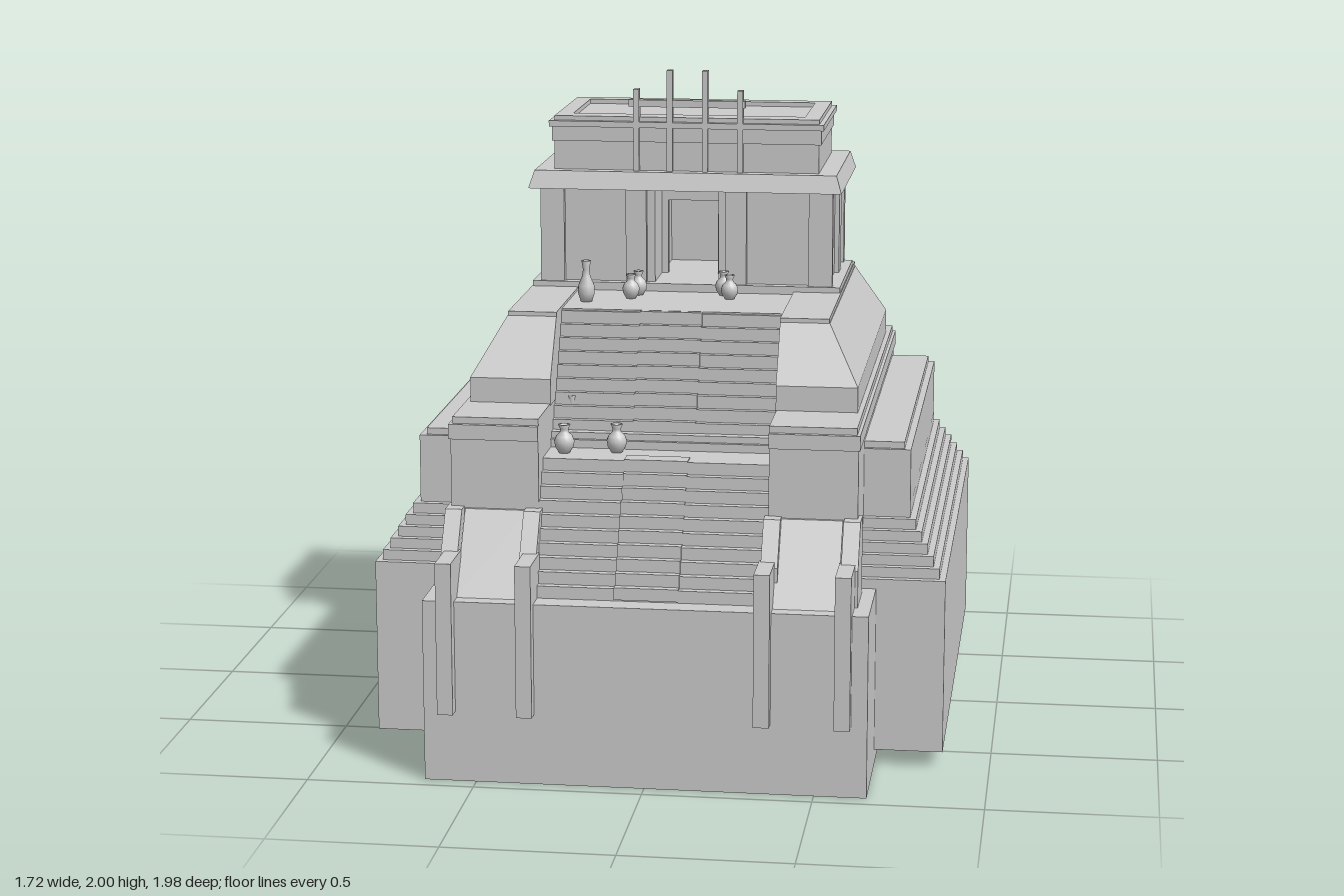
import * as THREE from 'three';

const stone = new THREE.MeshStandardMaterial({ color: 0xcccccc, flatShading: true });
const shell = new THREE.MeshStandardMaterial({ color: 0xcccccc, flatShading: true, side: THREE.DoubleSide });
const clay = new THREE.MeshStandardMaterial({ color: 0xcccccc });

export function createModel() {
  const root = new THREE.Group();

  const add = (name, geo, mat = stone) => {
    const m = new THREE.Mesh(geo, mat);
    m.name = name;
    root.add(m);
    return m;
  };
  // Box given by its limits
  const box = (name, x0, x1, y0, y1, z0, z1) => {
    const g = new THREE.BoxGeometry(x1 - x0, y1 - y0, z1 - z0);
    g.translate((x0 + x1) / 2, (y0 + y1) / 2, (z0 + z1) / 2);
    return add(name, g);
  };
  const pair = (name, x0, x1, ...rest) => {
    box(name + 'Left', x0, x1, ...rest);
    box(name + 'Right', -x1, -x0, ...rest);
  };
  // Stacked rectangles [x0, x1, z0, z1, y] joined into a skin, with optional ends
  const loft = (name, rows, bottom = true, top = true) => {
    const p = [];
    const ring = rows.map(([a, b, c, d, y]) => [[a, y, d], [b, y, d], [b, y, c], [a, y, c]]);
    const quad = (a, b, c, d) => p.push(...a, ...b, ...c, ...a, ...c, ...d);
    for (let i = 0; i + 1 < ring.length; i++)
      for (let k = 0; k < 4; k++) {
        const n = (k + 1) % 4;
        quad(ring[i][k], ring[i][n], ring[i + 1][n], ring[i + 1][k]);
      }
    if (top) quad(...ring[ring.length - 1]);
    if (bottom) quad(...[...ring[0]].reverse());
    const g = new THREE.BufferGeometry();
    g.setAttribute('position', new THREE.Float32BufferAttribute(p, 3));
    g.computeVertexNormals();
    return add(name, g, bottom ? stone : shell);
  };
  // Side profile of [z, y] points, extruded from x0 to x1
  const profile = (name, pts, x0, x1) => {
    const s = new THREE.Shape(pts.map(([z, y]) => new THREE.Vector2(z, y)));
    const g = new THREE.ExtrudeGeometry(s, { depth: x1 - x0, bevelEnabled: false });
    g.rotateY(-Math.PI / 2).translate(x1, 0, 0);
    return add(name, g);
  };
  const profilePair = (name, pts, x0, x1) => {
    profile(name + 'Left', pts, x0, x1);
    profile(name + 'Right', pts, -x1, -x0);
  };

  // Long base: hollow walls with a ledge round the top
  loft('longBase', [[-0.655, 0.655, -0.99, 0.95, 0], [-0.655, 0.655, -0.99, 0.95, 0.55],
    [-0.6, 0.6, -0.87, 0.85, 0.55]], false, false);

  // Wide base and its stepped terraces as one hollow skin
  const terraces = [[-0.86, 0.86, -0.89, 0.655, 0.05]];
  for (let i = 0; i <= 6; i++) {
    const y = 0.58 + i * 0.0315, d = 0.022 * i;
    if (i) terraces.push([-0.86 + d * 0.87, 0.86 - d * 0.87, -0.89 + d, 0.655 - d, y - 0.0315]);
    terraces.push([-0.86 + d * 0.87, 0.86 - d * 0.87, -0.89 + d, 0.655 - d, y]);
  }
  const wall = [-0.745, 0.745, -0.745, 0.523], cap = [-0.725, 0.725, -0.735, 0.51];
  terraces.push([...wall, 0.769], [...wall, 0.945], [...cap, 0.945], [...cap, 0.965]);
  loft('terraces', terraces, false);

  // Flanking towers beside the stairs
  for (const s of [1, -1]) {
    const row = (x, z0, z1, y) => (s > 0 ? [0.342, x, z0, z1, y] : [-x, -0.342, z0, z1, y]);
    loft('tower', [row(0.605, -0.79, 0.74, 0.55), row(0.605, -0.79, 0.74, 0.99),
      row(0.61, -0.803, 0.75, 0.99), row(0.61, -0.803, 0.75, 1.035),
      row(0.6, -0.79, 0.735, 1.035), row(0.6, -0.79, 0.735, 1.055)], false);
  }

  // Sloped balustrades, front ones ending in hanging posts
  const frontRail = [[0.7, 0.55], [0.86, 0.55], [0.86, 0.66], [0.85, 0.675], [0.78, 0.785], [0.7, 0.785]];
  const frontPost = [[0.83, 0.55], [0.95, 0.55], [0.95, 0.215], [0.99, 0.215], [0.99, 0.675], [0.83, 0.675]];
  const backRail = [[-0.7, 0.785], [-0.805, 0.785], [-0.965, 0.55], [-0.7, 0.55]];
  for (const x of [0.325, 0.56]) {
    profilePair('frontRail', frontRail, x + 0.006, x + 0.056);
    profilePair('frontPost', frontPost, x, x + 0.047);
    profilePair('backRail', backRail, x + 0.003, x + 0.05);
  }
  profilePair('frontRamp', [[0.7, 0.55], [0.905, 0.55], [0.75, 0.78], [0.7, 0.78]], 0.372, 0.562);
  profilePair('backRamp', [[-0.7, 0.78], [-0.78, 0.78], [-0.94, 0.55], [-0.7, 0.55]], 0.372, 0.562);

  // Stair flights, the front ones with a slightly raised central strip
  const flight = (name, zLow, zHigh, yLow, yHigh, n, strip) => {
    const run = (zHigh - zLow) / n, rise = (yHigh - yLow) / n, s = Math.sign(run);
    for (let i = 0; i < n; i++) {
      const z0 = zLow + run * i, z1 = z0 + run * 2.2, y = yLow + rise * i;
      box(name, -0.342, 0.342, y, y + rise, Math.min(z0, z1), Math.max(z0, z1));
      if (strip) box(name + 'Strip', -0.097, 0.093, y + 0.004, y + rise + 0.004, z1, z0 - s * 0.004);
    }
  };
  flight('frontLowerStep', 0.88, 0.64, 0.55, 0.92, 10, true);
  flight('frontUpperStep', 0.5, 0.3, 0.92, 1.3, 10, true);
  flight('backUpperStep', -0.725, -0.475, 0.95, 1.3, 10, false);
  box('landing', -0.342, 0.342, 0.86, 0.92, 0.45, 0.65);
  box('deck', -0.342, 0.342, 0.92, 1.305, -0.49, 0.31);

  // Sloped upper platform on both sides of the stairs
  for (const s of [1, -1]) {
    const row = (x, z0, z1, y) => (s > 0 ? [0.34, x, z0, z1, y] : [-x, -0.34, z0, z1, y]);
    loft('platform', [row(0.585, -0.68, 0.53, 1.05), row(0.585, -0.68, 0.53, 1.13),
      row(0.49, -0.55, 0.415, 1.3)]);
  }
  pair('platformCap', 0.34, 0.488, 1.3, 1.313, -0.555, 0.415);

  // Temple: plinth, walls around an open doorway, pilasters
  box('templePlinth', -0.485, 0.485, 1.3, 1.33, -0.49, 0.0);
  pair('templeFrontWall', 0.1, 0.44, 1.33, 1.64, -0.08, -0.03);
  pair('templeSideWall', 0.4, 0.445, 1.33, 1.64, -0.465, -0.03);
  box('templeBackWall', -0.44, 0.44, 1.33, 1.64, -0.47, -0.42);
  pair('chamberWall', 0.1, 0.13, 1.33, 1.64, -0.42, -0.08);
  box('innerLintel', -0.1, 0.1, 1.565, 1.64, -0.22, -0.19);
  pair('innerJamb', 0.08, 0.1, 1.33, 1.565, -0.22, -0.19);
  for (const z of [-0.02, -0.475]) {
    pair('cornerPilaster', 0.385, 0.46, 1.33, 1.64, z - 0.012, z + 0.012);
    pair('doorPilaster', 0.125, 0.19, 1.33, 1.64, z - 0.012, z + 0.012);
  }
  for (const [a, b] of [[-0.485, -0.445], [-0.335, -0.26], [-0.035, -0.01]])
    pair('sidePilaster', 0.44, 0.46, 1.33, 1.64, a, b);

  // Flared eave and upper storey
  loft('eave', [[-0.49, 0.49, -0.533, 0.04, 1.63], [-0.473, 0.473, -0.515, 0.022, 1.685]]);
  box('atticWall', -0.415, 0.415, 1.685, 1.78, -0.473, -0.015);
  box('atticBand', -0.422, 0.422, 1.775, 1.82, -0.477, -0.008);
  box('atticCornice', -0.43, 0.43, 1.82, 1.838, -0.485, 0);

  // Roof rim around a shallow sunken roof
  const rim = new THREE.Shape();
  rim.moveTo(-0.415, 0.018).lineTo(0.415, 0.018).lineTo(0.415, 0.468).lineTo(-0.415, 0.468);
  const hole = new THREE.Path();
  hole.moveTo(-0.365, 0.085).lineTo(-0.365, 0.42).lineTo(0.365, 0.42).lineTo(0.365, 0.085);
  rim.holes.push(hole);
  add('roofRim', new THREE.ExtrudeGeometry(rim, { depth: 0.014, bevelEnabled: false })
    .rotateX(-Math.PI / 2).translate(0, 1.838, 0));

  // Roof comb of four posts and a crossbar
  for (const [x, top] of [[-0.155, 1.94], [-0.05, 2], [0.06, 2], [0.17, 1.94]])
    box('combPost', x - 0.009, x + 0.009, 1.685, top, -0.03, 0);
  box('combBar', -0.18, 0.185, 1.885, 1.907, -0.033, -0.006);

  // Clay jars and tall vases
  const jar = [[0, 0], [0.016, 0], [0.027, 0.018], [0.03, 0.035], [0.024, 0.05],
    [0.013, 0.061], [0.012, 0.07], [0.018, 0.084], [0.012, 0.084], [0, 0.07]];
  const vase = [[0, 0], [0.018, 0], [0.026, 0.025], [0.025, 0.05], [0.013, 0.078],
    [0.01, 0.1], [0.015, 0.127], [0.01, 0.127], [0, 0.11]];
  const pot = (name, pts, x, y, z, s = 1) => {
    const m = add(name, new THREE.LatheGeometry(pts.map(([r, h]) => new THREE.Vector2(r, h)), 16), clay);
    m.position.set(x, y, z);
    m.scale.setScalar(s);
  };
  pot('tallVase', vase, -0.285, 1.305, 0.185);
  pot('tallVase', vase, -0.29, 0.935, 0.43);
  for (const [x, z] of [[-0.155, 0.12], [-0.14, 0.06], [0.125, 0.035], [0.15, 0.095]])
    pot('smallJar', jar, x, 1.305, z, 0.9);
  for (const [x, z] of [[-0.29, 0.585], [-0.135, 0.56]]) pot('jar', jar, x, 0.92, z, 1.03);

  return root;
}
